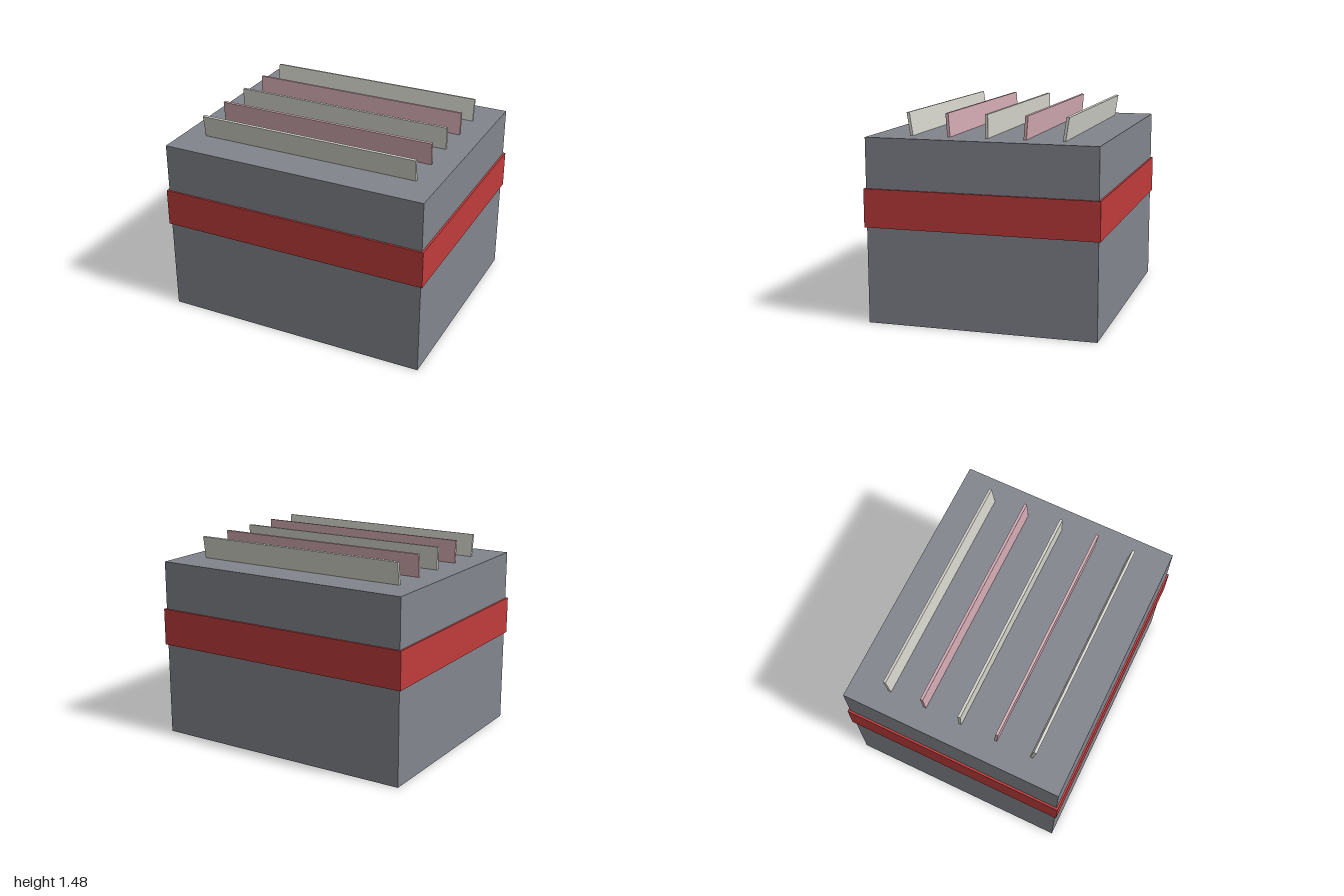
import * as THREE from 'three';

const material = (color) => new THREE.MeshStandardMaterial({ color });

function addBox(parent, name, size, y, mat) {
  const mesh = new THREE.Mesh(new THREE.BoxGeometry(...size), mat);
  mesh.name = name;
  mesh.position.y = y;
  parent.add(mesh);
  return mesh;
}

export function createModel() {
  const model = new THREE.Group();
  model.name = 'boxWithFins';
  const grey = material(0x82858c);
  const red = material(0xc03c3c);
  const ivory = material(0xd2d2ca);
  const pink = material(0xd2aab2);

  // Solid body and the slightly wider band around it
  addBox(model, 'body', [1.97, 1.316, 1.642], 0.658, grey);
  addBox(model, 'band', [2, 0.272, 1.67], 0.824, red);

  // Five thin upright fins, fanning outwards from the middle
  const finHeight = 0.18;
  for (let i = -2; i <= 2; i++) {
    const fin = new THREE.Group();
    fin.name = 'fin';
    fin.position.set(0, 1.3, i * 0.27);
    fin.rotation.x = i * 0.075;
    addBox(fin, 'finPanel', [1.64, finHeight, 0.02], finHeight / 2, i % 2 ? pink : ivory);
    model.add(fin);
  }
  return model;
}
